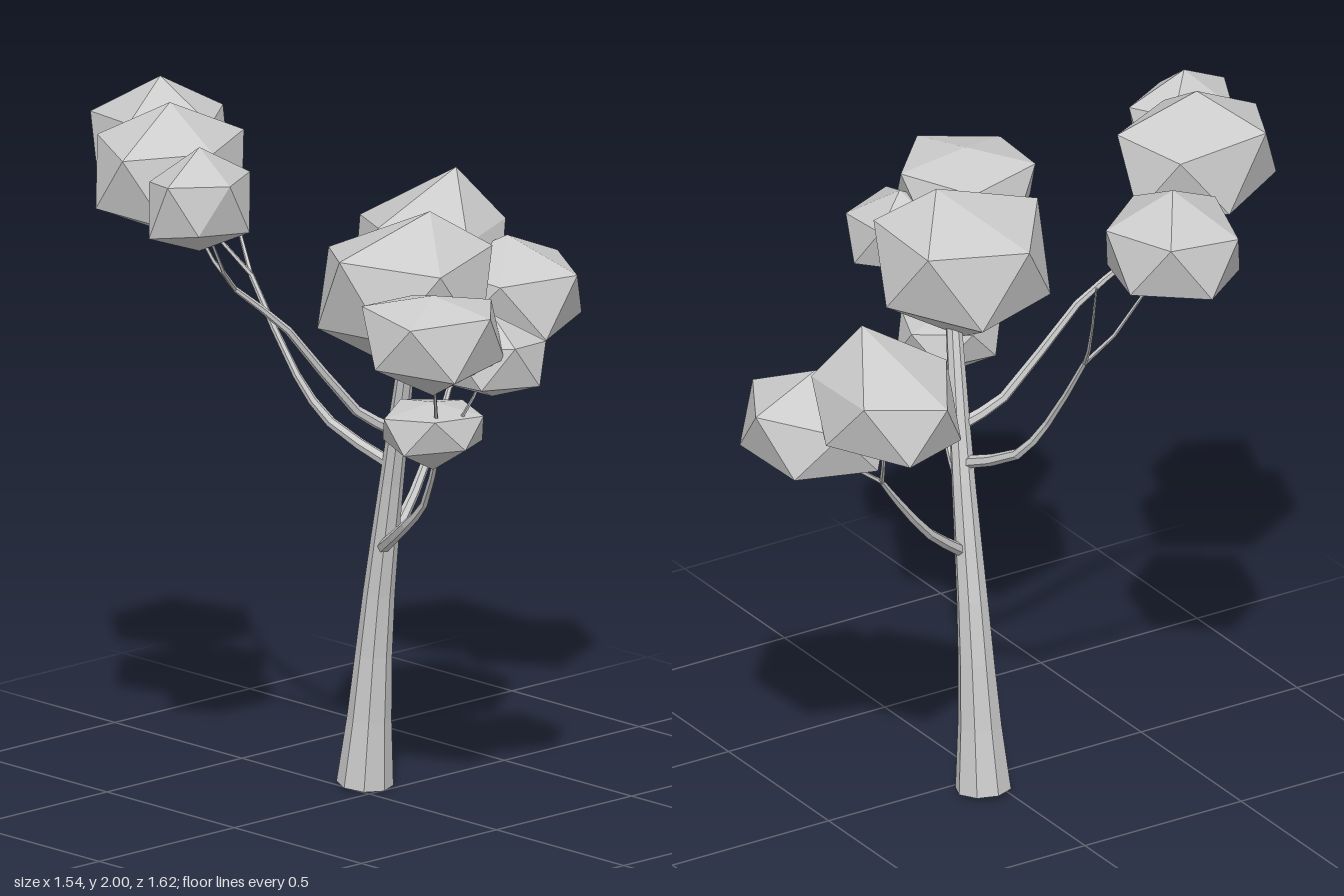
import * as THREE from 'three';
import { ConvexGeometry } from 'three/addons/geometries/ConvexGeometry.js';

const material = new THREE.MeshStandardMaterial({ color: 0xcccccc, flatShading: true });
const vec = (x, y, z) => new THREE.Vector3(x, y, z);

// Tapered limb: rings swept along a curve, with radius as a function of t
function limb(name, curve, sides, steps, radius) {
  const up = vec(0, 1, 0);
  const points = [], index = [];
  for (let i = 0; i <= steps; i++) {
    const t = i / steps;
    const centre = curve.getPoint(t);
    const turn = new THREE.Quaternion().setFromUnitVectors(up, curve.getTangent(t));
    for (let s = 0; s < sides; s++) {
      const a = (s / sides) * Math.PI * 2;
      const offset = vec(Math.cos(a), 0, Math.sin(a)).multiplyScalar(radius(t));
      points.push(offset.applyQuaternion(turn).add(centre));
    }
  }
  for (let i = 0; i < steps; i++) {
    for (let s = 0; s < sides; s++) {
      const a = i * sides + s, b = i * sides + (s + 1) % sides;
      index.push(a, a + sides, b, b, a + sides, b + sides);
    }
  }
  // End caps
  const last = steps * sides;
  for (let s = 1; s < sides - 1; s++) {
    index.push(0, s, s + 1, last, last + s + 1, last + s);
  }
  const geometry = new THREE.BufferGeometry().setFromPoints(points);
  geometry.setIndex(index);
  geometry.computeVertexNormals();
  const mesh = new THREE.Mesh(geometry, material);
  mesh.name = name;
  return mesh;
}

// Main branch through the given points, with a sagging twig to each target
function branch(name, path, targets) {
  const group = new THREE.Group();
  group.name = name;
  const curve = new THREE.CatmullRomCurve3(path);
  group.add(limb('bough', curve, 6, 6, t => 0.018 - 0.01 * t));
  const fork = path[path.length - 1];
  for (const target of targets) {
    const bend = fork.clone().lerp(target, 0.5);
    bend.y -= 0.2 * fork.distanceTo(target);
    const twigCurve = new THREE.QuadraticBezierCurve3(fork, bend, target);
    group.add(limb('twig', twigCurve, 5, 3, t => 0.007 - 0.004 * t));
  }
  return group;
}

// Faceted leaf clump: two five-sided rings between a top and a bottom point,
// fitted to the given size. Ring heights are fractions of the clump height.
function clump(name, centre, size, yaw, upper = 0.7, lower = 0.22, lean = vec(0, 0, 0)) {
  const points = [];
  [upper, lower].forEach((height, r) => {
    for (let k = 0; k < 5; k++) {
      const a = THREE.MathUtils.degToRad(yaw + r * 36 + k * 72);
      const wobble = 0.04 * Math.sin(k * 2.4 + r * 1.7 + yaw);
      points.push(vec(Math.cos(a), height + wobble, Math.sin(a)));
    }
  });
  const box = new THREE.Box3().setFromPoints(points);
  box.min.y = 0;
  box.max.y = 1;
  const middle = box.getCenter(vec()), extent = box.getSize(vec());
  points.forEach(p => p.sub(middle).divide(extent).multiply(size));
  points.push(vec(0, size.y / 2, 0).add(lean), vec(0, -size.y / 2, 0));
  const mesh = new THREE.Mesh(new ConvexGeometry(points), material);
  mesh.name = name;
  mesh.position.copy(centre);
  return mesh;
}

export function createModel() {
  const tree = new THREE.Group();
  tree.name = 'tree';

  // Leaning trunk, flared at the foot
  const trunkCurve = new THREE.CatmullRomCurve3([
    vec(-0.07, 0.01, -0.05), vec(-0.022, 0.5, -0.05),
    vec(0.06, 0.93, -0.034), vec(0.18, 1.38, 0.01),
  ]);
  tree.add(limb('trunk', trunkCurve, 8, 8, t => 0.055 - 0.035 * t + 0.022 * (1 - t) ** 6));

  // Leaf clumps
  const crown = clump('crownClump', vec(0.195, 1.453, 0.052), vec(0.44, 0.445, 0.485), 18,
    0.75, 0.3, vec(0.035, 0, -0.06));
  const right = clump('rightClump', vec(-0.572, 1.795, 0.235), vec(0.395, 0.29, 0.35), 0, 0.66, 0.14);
  const frontRight = clump('frontRightClump', vec(-0.2, 1.817, 0.55), vec(0.365, 0.365, 0.44), 75);
  const frontLeft = clump('frontLeftClump', vec(0.03, 1.795, 0.657), vec(0.24, 0.29, 0.305), 0);
  const leftFront = clump('leftFrontClump', vec(0.58, 1.43, 0.31), vec(0.38, 0.28, 0.38), 62, 0.85, 0.33);
  const leftBack = clump('leftBackClump', vec(0.6, 1.37, 0.112), vec(0.295, 0.23, 0.285), 20);
  const leftLow = clump('leftLowClump', vec(0.4, 1.11, 0.14), vec(0.275, 0.19, 0.28), 40, 0.86, 0.4);
  const backRight = clump('backRightClump', vec(-0.3, 1.412, -0.508), vec(0.425, 0.385, 0.385), 90,
    0.6, 0.2, vec(0.06, 0, -0.04));
  const backLeft = clump('backLeftClump', vec(-0.105, 1.28, -0.61), vec(0.41, 0.3, 0.4), 50);
  tree.add(crown, right, frontRight, frontLeft, leftFront, leftBack, leftLow, backRight, backLeft);

  // Branches, forking towards the clumps they carry
  tree.add(branch('leftBranch',
    [vec(0.02, 0.69, -0.03), vec(0.19, 0.8, 0.04), vec(0.28, 0.88, 0.06), vec(0.41, 1.08, 0.13)],
    [leftFront.position, leftBack.position]));
  // The right branch also ends in a bare twig
  tree.add(branch('rightBranch',
    [vec(0.06, 0.93, -0.03), vec(-0.13, 1.02, 0.02), vec(-0.22, 1.14, 0.06), vec(-0.39, 1.39, 0.07)],
    [right.position, vec(-0.62, 1.74, -0.04)]));
  tree.add(branch('frontBranch',
    [vec(0.085, 1.03, -0.02), vec(0.045, 1.1, 0.09), vec(-0.01, 1.35, 0.29), vec(-0.07, 1.48, 0.43)],
    [frontRight.position, frontLeft.position]));
  tree.add(branch('backBranch',
    [vec(0.015, 0.69, -0.06), vec(-0.035, 0.8, -0.2), vec(-0.08, 0.95, -0.33), vec(-0.11, 1.04, -0.4)],
    [backLeft.position, backRight.position]));

  return tree;
}
